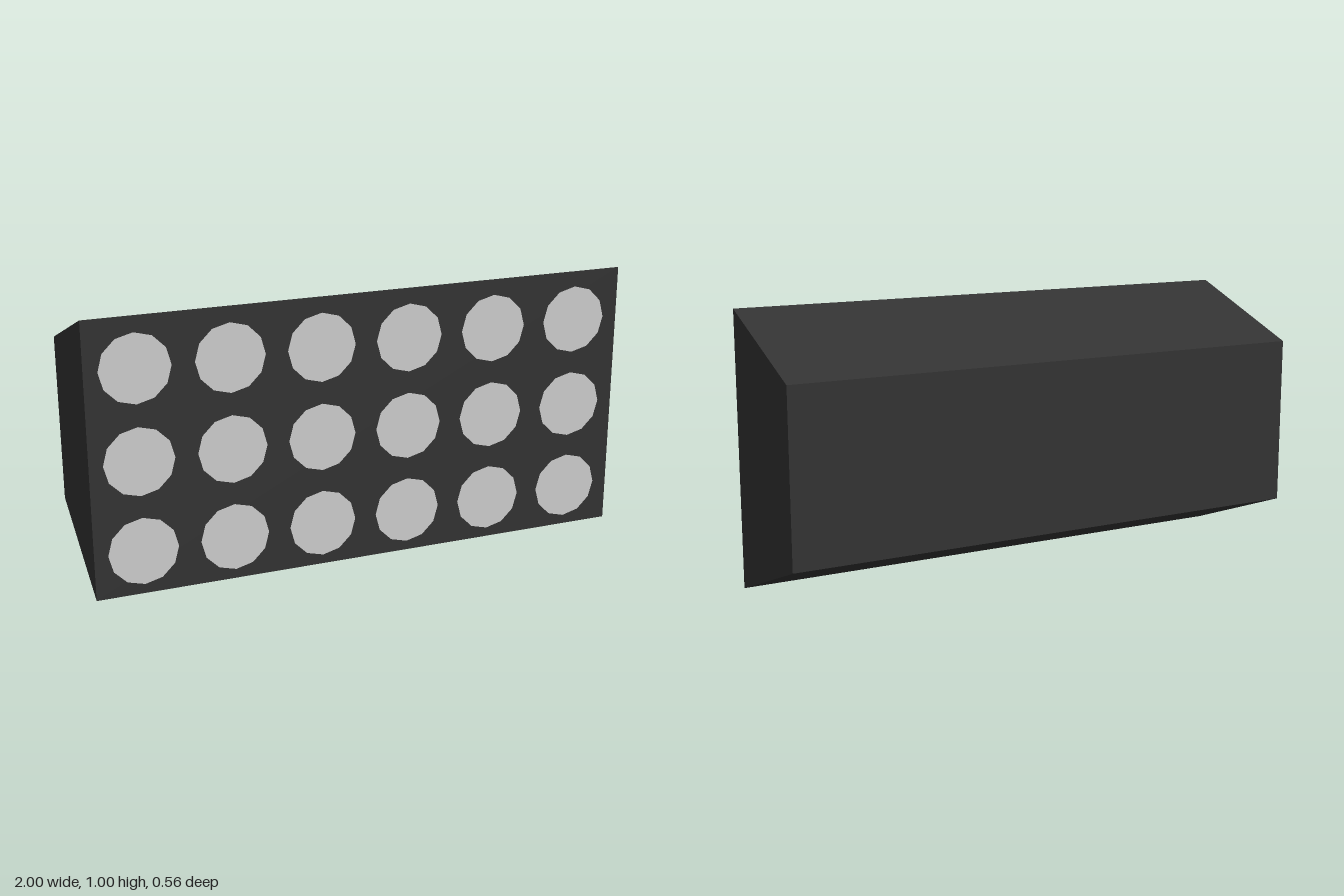
import * as THREE from 'three';

export function createModel() {
  const group = new THREE.Group();
  const dark = new THREE.MeshStandardMaterial({ color: 0x323232, flatShading: true });
  const grey = new THREE.MeshStandardMaterial({ color: 0xcccccc, side: THREE.DoubleSide });

  // Housing: a box whose back edge is pinched in height
  const frontZ = 0.22, backZ = -0.28, width = 2;
  const profile = new THREE.Shape([
    new THREE.Vector2(-frontZ, 0),
    new THREE.Vector2(-backZ, 0.19),
    new THREE.Vector2(-backZ, 0.81),
    new THREE.Vector2(-frontZ, 1),
  ]);
  const housingGeometry = new THREE.ExtrudeGeometry(profile, { depth: width, bevelEnabled: false });
  housingGeometry.translate(0, 0, -width / 2).rotateY(Math.PI / 2);
  const housing = new THREE.Mesh(housingGeometry, dark);
  housing.name = 'housing';
  group.add(housing);

  // Lamps: a 6 x 3 grid of flat discs floating just ahead of the front face
  const lamps = new THREE.Group();
  lamps.name = 'lamps';
  const disc = new THREE.CircleGeometry(0.123, 12);
  const spacing = 0.325;
  for (let row = 0; row < 3; row++) {
    for (let col = 0; col < 6; col++) {
      const lamp = new THREE.Mesh(disc, grey);
      lamp.name = `lamp${row + 1}_${col + 1}`;
      lamp.position.set(-0.84 + col * spacing, 0.187 + row * spacing, 0.28);
      lamps.add(lamp);
    }
  }
  group.add(lamps);

  return group;
}
